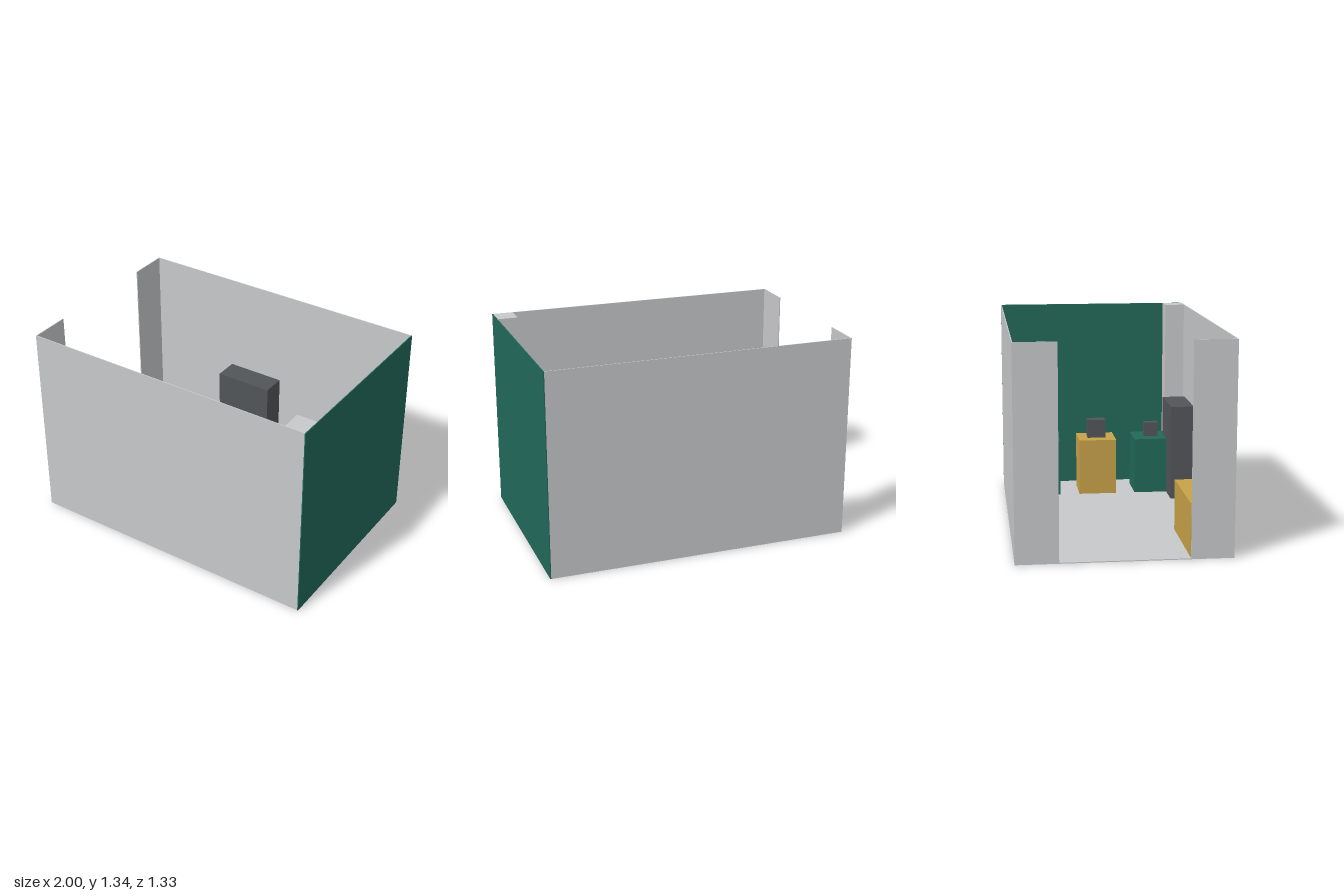
import * as THREE from 'three';

export function createModel() {
  const model = new THREE.Group();
  const paint = (name, color) => {
    const m = new THREE.MeshStandardMaterial({ color });
    m.name = name;
    return m;
  };
  const grey = paint('light grey', 0xc8c9cb);
  const green = paint('deep green', 0x22695a);
  const yellow = paint('ochre yellow', 0xc8a248);
  const dark = paint('charcoal', 0x525558);

  // Box given by its low and high limits on each axis
  const box = (name, mat, [x0, x1], [y0, y1], [z0, z1]) => {
    const mesh = new THREE.Mesh(new THREE.BoxGeometry(x1 - x0, y1 - y0, z1 - z0), mat);
    mesh.position.set((x0 + x1) / 2, (y0 + y1) / 2, (z0 + z1) / 2);
    mesh.name = name;
    model.add(mesh);
  };

  const W = 1, D = 0.667, H = 1.34, T = 0.006; // half width, half depth, height, wall thickness
  const inner = D - T;

  // Floor and shell
  box('floor', grey, [-W, W - T], [0, T], [-inner, inner]);
  box('frontWall', grey, [-W, W - T], [0, H], [inner, D]);
  box('backWall', grey, [-W, W - T], [0, H], [-D, -inner]);
  box('accentWall', green, [W - T, W], [0, H], [-D, D]);

  // Short returns either side of the wide entrance
  box('entranceReturnFront', grey, [-W, -W + T], [T, H], [0.4, inner]);
  box('entranceReturnBack', grey, [-W, -W + T], [T, H], [-inner, -0.4]);

  // Corner column
  box('cornerColumn', grey, [0.86, W - T], [T, H], [0.525, inner]);

  // Cabinets against the long walls and the bench by the entrance
  box('frontCabinet', dark, [0.4, 0.8], [T, 0.67], [0.5, inner]);
  box('backCabinet', dark, [-0.37, 0.03], [T, 0.67], [-inner, -0.5]);
  box('bench', yellow, [-0.97, -0.37], [T, 0.34], [0.4, 0.6]);

  // Plinths along the accent wall, each with a smaller block on top
  const plinths = [
    [-0.403, green, 0.05, 0.075, 0.15],
    [0, yellow, 0.043, 0.064, 0.13],
    [0.4, green, 0.033, 0.05, 0.1],
  ];
  for (const [z, mat, hx, hz, h] of plinths) {
    box('plinth', mat, [0.6, 0.865], [T, 0.4], [z - 0.133, z + 0.133]);
    box('displayBlock', dark, [0.732 - hx, 0.732 + hx], [0.4, 0.4 + h], [z - hz, z + hz]);
  }
  return model;
}
